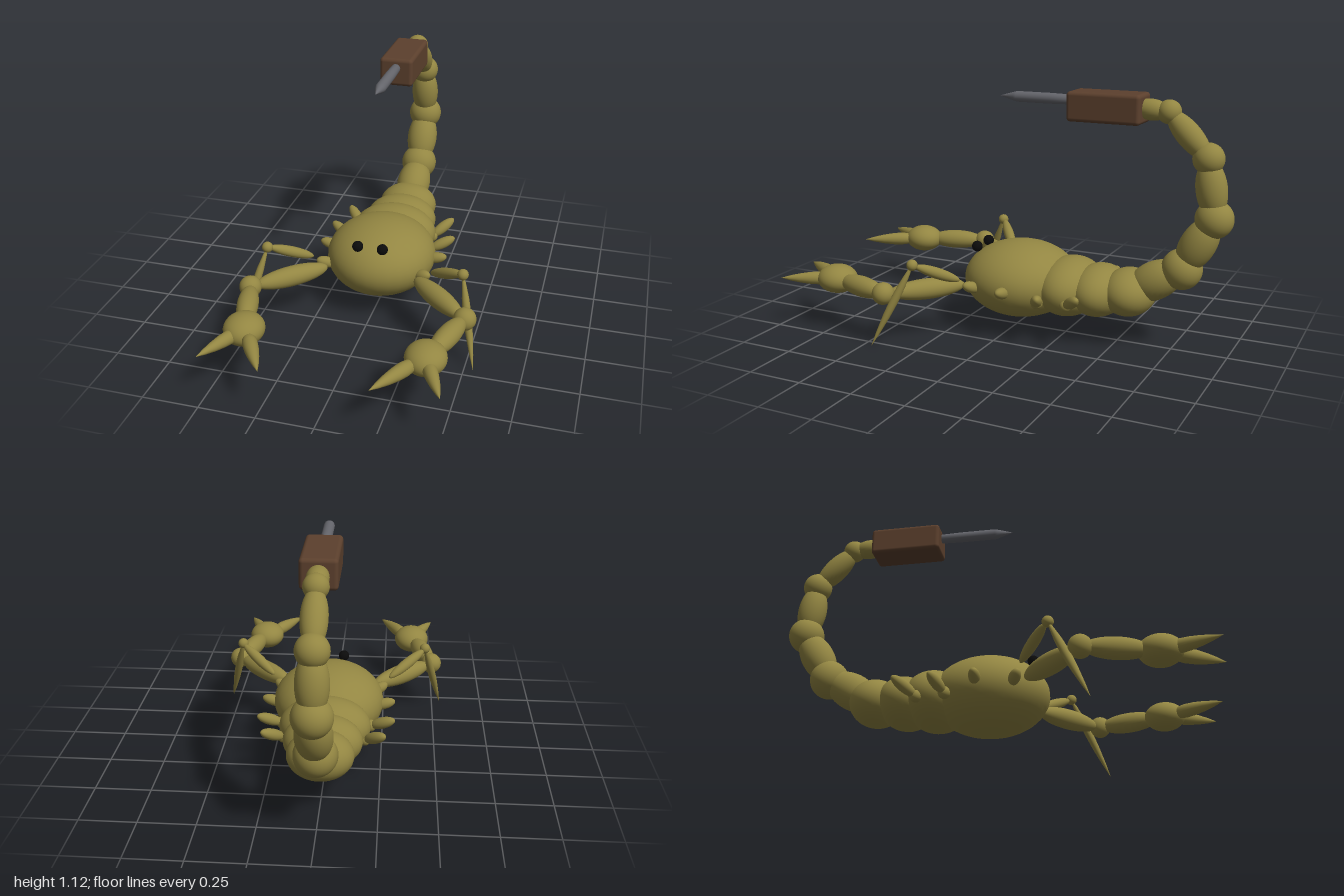
import * as THREE from 'three';
import { RoundedBoxGeometry } from 'three/addons/geometries/RoundedBoxGeometry.js';

const mat = (name, color) => {
  const m = new THREE.MeshStandardMaterial({ color });
  m.name = name;
  return m;
};

export function createModel() {
  const shell = mat('olive shell', 0x938642);
  const wood = mat('brown handle', 0x5c402d);
  const steel = mat('grey steel', 0x64656b);
  const black = mat('black eyes', 0x0b0b0b);

  const model = new THREE.Group();
  model.name = 'scorpion';
  const V = (p) => new THREE.Vector3(...p);
  const UP = new THREE.Vector3(0, 1, 0);

  const add = (name, geometry, material, position) => {
    const mesh = new THREE.Mesh(geometry, material);
    mesh.name = name;
    mesh.position.copy(V(position));
    model.add(mesh);
    return mesh;
  };

  // Ellipsoid with radii along x, y, z
  const ball = (name, position, radii, material = shell) =>
    add(name, new THREE.SphereGeometry(1, 32, 24).scale(...radii), material, position);
  const sphere = (name, position, r, material) => ball(name, position, [r, r, r], material);

  // Ellipsoid stretched between two points
  const spindle = (name, a, b, r) => {
    const A = V(a), B = V(b);
    const mid = A.clone().add(B).multiplyScalar(0.5);
    const mesh = ball(name, mid.toArray(), [r, A.distanceTo(B) / 2, r]);
    mesh.quaternion.setFromUnitVectors(UP, B.sub(A).normalize());
    return mesh;
  };

  // Pointed form turned around the line from base to tip
  const spike = (name, base, tip, r, profile, material = shell) => {
    const A = V(base), dir = V(tip).sub(A), len = dir.length();
    const pts = profile.map(([w, t]) => new THREE.Vector2(w * r, t * len));
    const mesh = add(name, new THREE.LatheGeometry(pts, 24), material, base);
    mesh.quaternion.setFromUnitVectors(UP, dir.normalize());
    return mesh;
  };
  const clawProfile = [[0, 0], [0.6, 0.04], [0.9, 0.13], [1, 0.25], [0.93, 0.42], [0.72, 0.62], [0.4, 0.82], [0, 1]];
  const footProfile = [[0, 0], [0.45, 0.08], [0.85, 0.25], [1, 0.42], [0.85, 0.62], [0.45, 0.84], [0, 1]];
  const bitProfile = [[0, 0], [0.9, 0], [1, 0.3], [1, 0.76], [0.85, 0.8], [0, 1]];

  // Body and abdomen
  ball('body', [0, 0.237, -0.025], [0.255, 0.175, 0.267]);
  ball('abdomenFront', [0, 0.23, -0.27], [0.205, 0.133, 0.15]);
  ball('abdomenMiddle', [0, 0.23, -0.41], [0.175, 0.117, 0.13]);
  ball('abdomenRear', [0, 0.24, -0.55], [0.145, 0.107, 0.122]);

  // Curled tail: ball joints with stretched links between them
  const joints = [
    [0, 0.24, -0.55], [0, 0.375, -0.785], [0, 0.61, -0.916],
    [0, 0.865, -0.88], [0, 1.05, -0.705], [0, 1.06, -0.55],
  ];
  const jointRadii = [0, 0.09, 0.083, 0.068, 0.052, 0];
  const linkRadii = [0.085, 0.077, 0.067, 0.054, 0.046];
  for (let i = 0; i < 5; i++) {
    spindle('tailLink', joints[i], joints[i + 1], linkRadii[i]);
    if (jointRadii[i]) sphere('tailJoint', joints[i], jointRadii[i]);
  }

  // Tool at the end of the tail
  add('toolHandle', new RoundedBoxGeometry(0.155, 0.13, 0.333, 4, 0.017), wood, [0, 1.056, -0.432]);
  spike('toolBit', [0, 1.077, -0.27], [0, 1.077, 0.083], 0.024, bitProfile, steel);

  // Leg stubs: base and end on the +x side
  const stubs = [
    [[0.19, 0.215, 0.1], [0.27, 0.25, 0.14]],
    [[0.2, 0.22, -0.05], [0.31, 0.25, -0.045]],
    [[0.2, 0.195, -0.19], [0.31, 0.25, -0.237]],
    [[0.18, 0.195, -0.32], [0.27, 0.26, -0.408]],
  ];

  for (const s of [1, -1]) {
    const side = s > 0 ? 'left' : 'right';
    const m = ([x, y, z]) => [s * x, y, z];

    sphere(side + 'Eye', m([0.058, 0.374, 0.178]), 0.025, black);

    for (const [a, b] of stubs) {
      sphere(side + 'Hip', m(a), 0.028);
      spindle(side + 'LegStub', m(a), m(b), 0.026);
    }

    // Pincer arm
    spindle(side + 'UpperArm', m([0.21, 0.235, 0.165]), m([0.47, 0.235, 0.405]), 0.047);
    sphere(side + 'Elbow', m([0.488, 0.237, 0.423]), 0.05);
    spindle(side + 'Forearm', m([0.483, 0.237, 0.43]), m([0.405, 0.237, 0.7]), 0.047);
    ball(side + 'Hand', m([0.39, 0.237, 0.735]), [0.088, 0.066, 0.094]);
    spike(side + 'OuterFinger', m([0.4, 0.237, 0.76]), m([0.5, 0.237, 0.975]), 0.03, clawProfile);
    spike(side + 'InnerFinger', m([0.355, 0.237, 0.78]), m([0.226, 0.237, 0.998]), 0.032, clawProfile);

    // Thin front leg
    spindle(side + 'Thigh', m([0.28, 0.275, 0.153]), m([0.445, 0.37, 0.283]), 0.025);
    sphere(side + 'Knee', m([0.45, 0.374, 0.293]), 0.025);
    spike(side + 'Shin', m([0.45, 0.374, 0.293]), m([0.54, 0.003, 0.46]), 0.019, footProfile);
  }

  return model;
}
